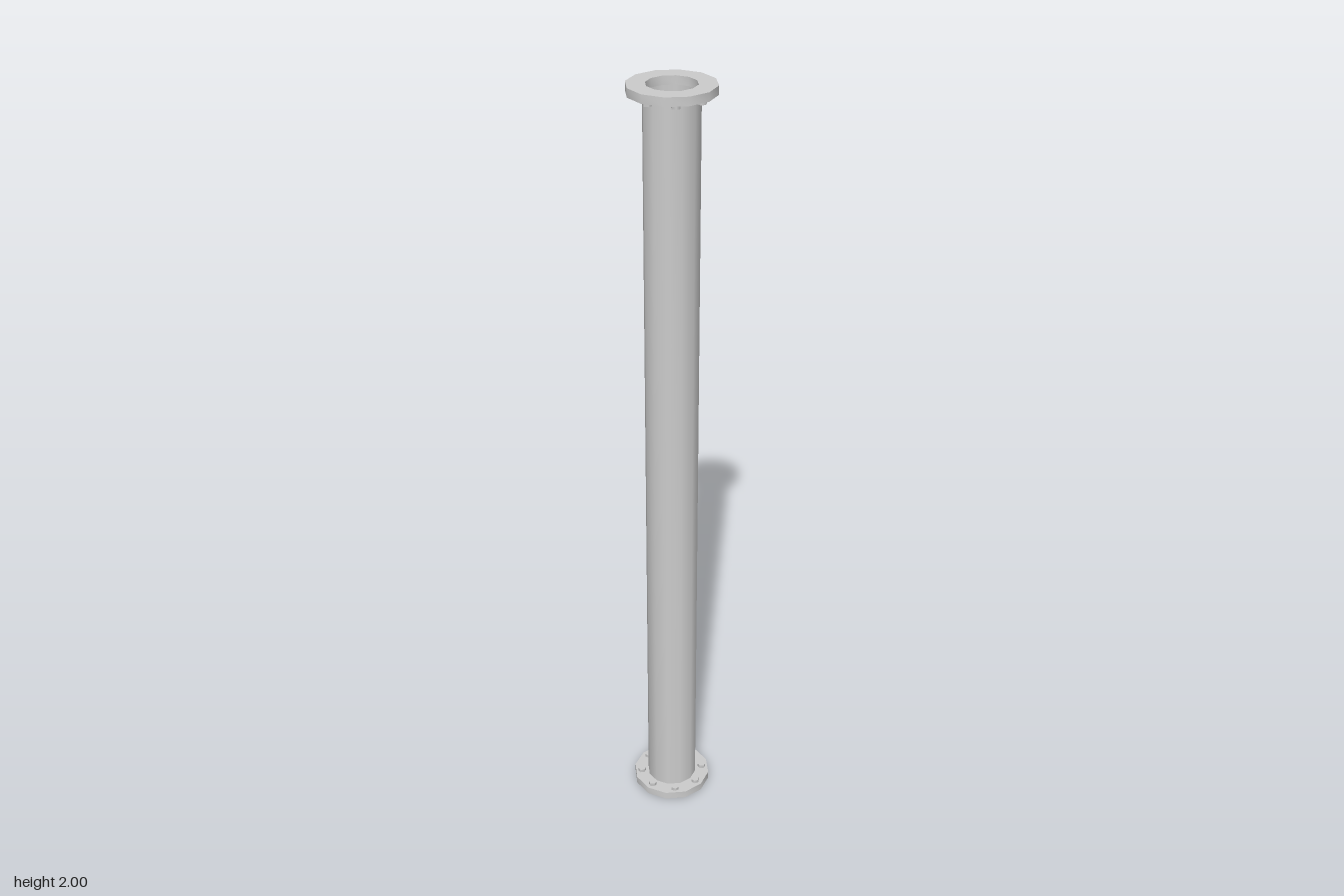
import * as THREE from 'three';
import { toCreasedNormals } from 'three/addons/utils/BufferGeometryUtils.js';

const SIDES = 12, HEIGHT = 2;
const BORE = 0.06, PIPE = 0.067, FLANGE = 0.105, THICK = 0.021;
const BOLTS = 8, BOLT_CIRCLE = 0.085, BOLT_RADIUS = 0.011, BOLT_HEIGHT = 0.009;

export function createModel() {
  const model = new THREE.Group();
  model.name = 'flangedPipe';
  const grey = new THREE.MeshStandardMaterial({ color: 0xcccccc });
  const thin = new THREE.MeshStandardMaterial({ color: 0xcccccc, side: THREE.DoubleSide });

  const add = (parent, name, geometry, material = grey) => {
    const mesh = new THREE.Mesh(geometry, material);
    mesh.name = name;
    parent.add(mesh);
    return mesh;
  };

  // Turned shape: smooth around, sharp at the rims
  const turned = (points) => toCreasedNormals(
    new THREE.LatheGeometry(points.map(([r, y]) => new THREE.Vector2(r, y)), SIDES), 0.6);

  // Outer wall and bore, running between the flanges
  add(model, 'pipeWall', turned([[PIPE, THICK], [PIPE, HEIGHT - THICK]]));
  add(model, 'pipeBore', turned([[BORE, HEIGHT - THICK], [BORE, THICK]]));

  // Thin plate closing the bore halfway along
  const plate = add(model, 'innerPlate', new THREE.CircleGeometry(BORE, SIDES), thin);
  plate.rotation.x = -Math.PI / 2;
  plate.position.y = HEIGHT / 2;

  // A flange with its ring of bolts, used upright and upside down
  const flangeShape = turned([[BORE, 0], [FLANGE, 0], [FLANGE, THICK], [BORE, THICK], [BORE, 0]]);
  const boltShape = new THREE.CylinderGeometry(BOLT_RADIUS, BOLT_RADIUS, BOLT_HEIGHT, 6);
  for (const name of ['bottomFlange', 'topFlange']) {
    const end = new THREE.Group();
    end.name = name;
    add(end, 'flangeRing', flangeShape);
    for (let i = 0; i < BOLTS; i++) {
      const a = (i / BOLTS) * Math.PI * 2;
      const bolt = add(end, 'bolt', boltShape);
      bolt.position.set(Math.sin(a) * BOLT_CIRCLE, THICK + BOLT_HEIGHT / 2, Math.cos(a) * BOLT_CIRCLE);
      bolt.rotation.y = a;
    }
    if (name === 'topFlange') {
      end.rotation.x = Math.PI;
      end.position.y = HEIGHT;
    }
    model.add(end);
  }
  return model;
}
